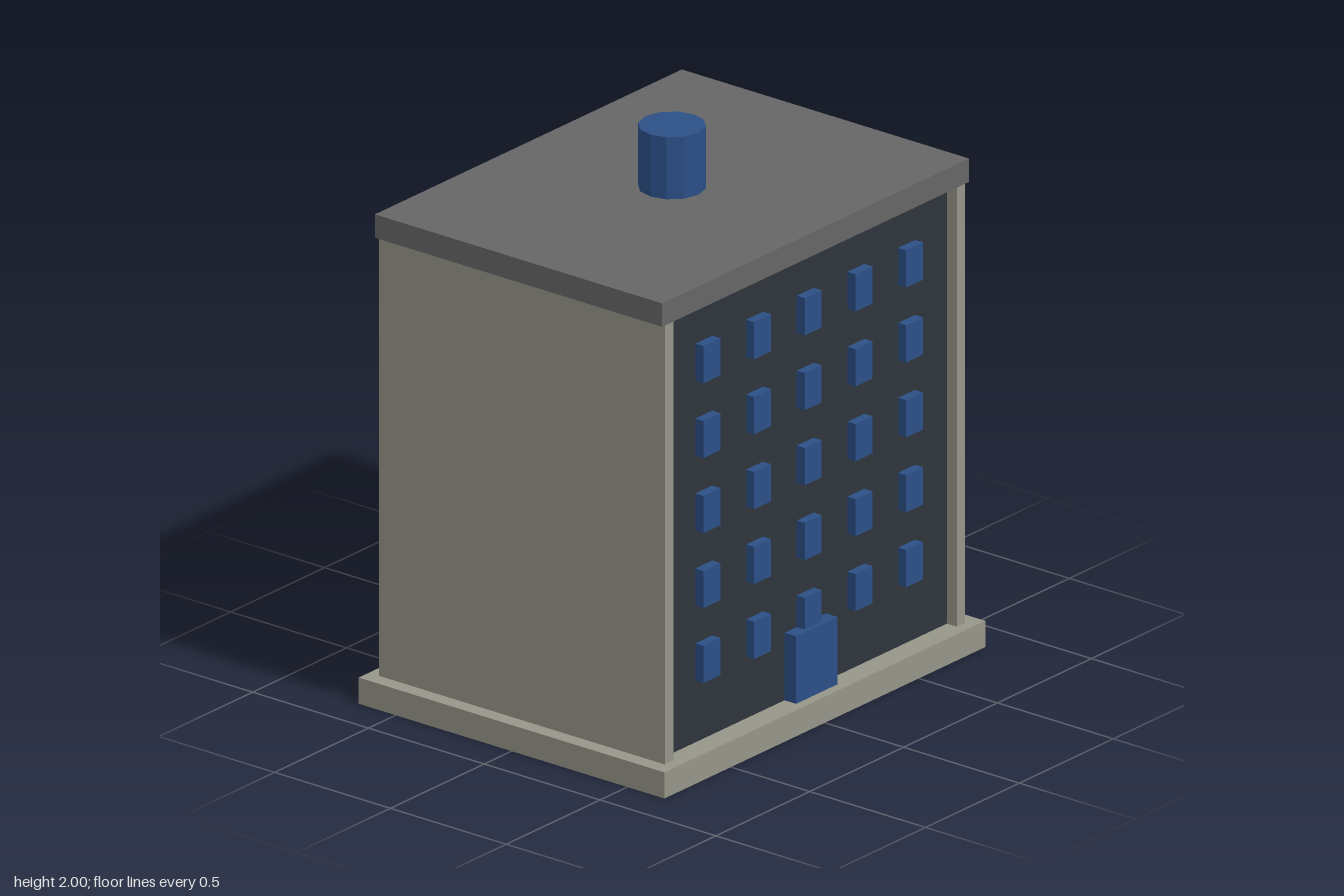
import * as THREE from 'three';

const paint = (name, color) => {
  const m = new THREE.MeshStandardMaterial({ color });
  m.name = name;
  return m;
};

export function createModel() {
  const stone = paint('stone', 0x959589);
  const slate = paint('slate', 0x2d353a);
  const roofGrey = paint('roofGrey', 0x666666);
  const blue = paint('blue', 0x2b4f86);

  const building = new THREE.Group();
  building.name = 'building';

  const add = (name, geometry, material, x, y, z, parent = building) => {
    const mesh = new THREE.Mesh(geometry, material);
    mesh.name = name;
    mesh.position.set(x, y, z);
    parent.add(mesh);
    return mesh;
  };
  // Box given by its bottom and top heights
  const block = (name, material, w, y0, y1, d, x = 0, z = 0) =>
    add(name, new THREE.BoxGeometry(w, y1 - y0, d), material, x, (y0 + y1) / 2, z);

  const bottom = 0.095, eaves = 1.69, roofTop = 1.775;
  const coreZ = 0.575;

  // Plinth, recessed core, side walls and roof slab
  block('plinth', stone, 1.71, 0, bottom, 1.32);
  block('core', slate, 1.51, bottom, eaves, coreZ * 2);
  for (const [name, s] of [['leftWall', 1], ['rightWall', -1]])
    block(name, stone, 0.045, bottom, eaves, 1.235, s * 0.7775);
  block('roof', roofGrey, 1.635, eaves, roofTop, 1.24);

  // Window grids on the front and back
  const windowGeometry = new THREE.BoxGeometry(0.09, 0.135, 0.035);
  for (const [name, s] of [['frontWindows', 1], ['backWindows', -1]]) {
    const group = new THREE.Group();
    group.name = name;
    building.add(group);
    for (let row = 0; row < 5; row++)
      for (let col = -2; col <= 2; col++)
        add('window', windowGeometry, blue, col * 0.27, 0.387 + row * 0.272, s * (coreZ + 0.0175), group);
  }

  // Front door
  block('door', blue, 0.22, bottom, 0.34, 0.05, 0, 0.6);

  // Twelve-sided roof tank
  const tank = new THREE.CylinderGeometry(0.115, 0.115, 2 - roofTop, 12).toNonIndexed();
  tank.computeVertexNormals();
  add('roofTank', tank, blue, 0, (2 + roofTop) / 2, 0);

  return building;
}
